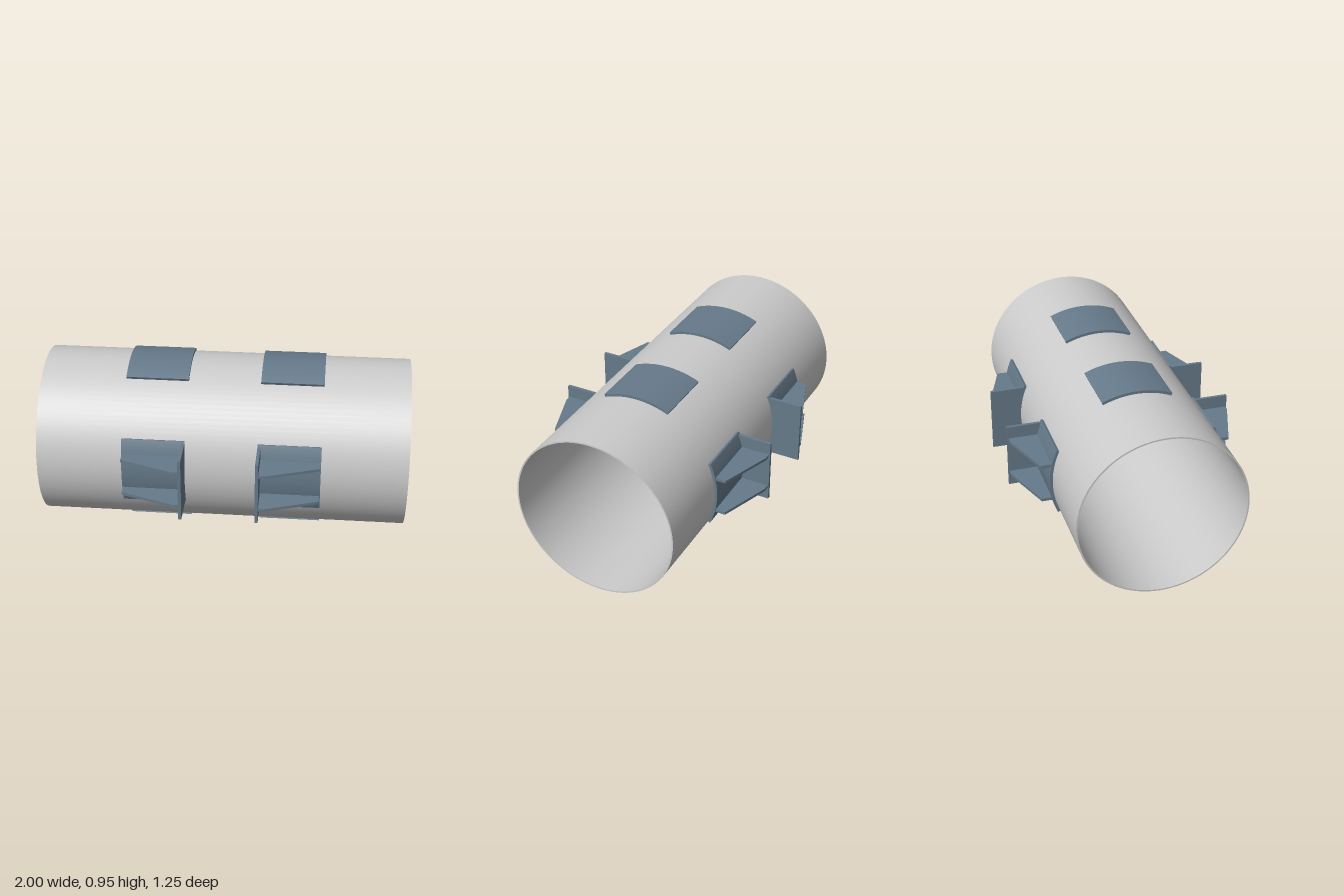
import * as THREE from 'three';
import { toCreasedNormals } from 'three/addons/utils/BufferGeometryUtils.js';

const CENTRE_Y = 0.475;
const PIPE_R = 0.46, PIPE_INNER = 0.452, PAD_R = 0.475;
const X0 = 0.195, X1 = 0.535; // extent of each pad along the pipe

const grey = new THREE.MeshStandardMaterial({ color: 0xcccccc });
const steel = new THREE.MeshStandardMaterial({ color: 0x667a8a });

function part(name, geometry, material) {
  const mesh = new THREE.Mesh(toCreasedNormals(geometry, 0.5), material);
  mesh.name = name;
  return mesh;
}

// Extrude a (z, y) outline along x from xa to xb
function extrudeAlongX(shape, xa, xb) {
  const g = new THREE.ExtrudeGeometry(shape, { depth: xb - xa, bevelEnabled: false, curveSegments: 24 });
  return g.rotateY(-Math.PI / 2).translate(xb, 0, 0);
}

function pipe() {
  const profile = [[PIPE_R, -1], [PIPE_R, 1], [PIPE_INNER, 1], [PIPE_INNER, -1], [PIPE_R, -1]]
    .map(([r, y]) => new THREE.Vector2(r, y));
  return part('pipe', new THREE.LatheGeometry(profile, 96).rotateZ(Math.PI / 2), grey);
}

// Curved pad lying on the pipe wall, facing +z
function pad() {
  const a = 0.413, s = new THREE.Shape();
  s.absarc(0, 0, PAD_R, -a, a, false);
  s.absarc(0, 0, PIPE_R - 0.001, a, -a, true);
  return part('pad', extrudeAlongX(s, X0, X1), steel);
}

// Upright stop plate, cut to the curve of the pad
function stopPlate() {
  const h = 0.179, r = PAD_R - 0.002, a = Math.asin(h / r), s = new THREE.Shape();
  s.moveTo(0.627, -h);
  s.lineTo(0.627, h);
  s.absarc(0, 0, r, a, -a, true);
  return part('stopPlate', extrudeAlongX(s, X0, X0 + 0.017), steel);
}

// Tapered rib bracing the plate at height y
function rib(y) {
  const t = 0.016, s = new THREE.Shape();
  [[X0 + 0.016, 0.458], [X1 - 0.005, 0.458], [X1 - 0.005, 0.52], [0.245, 0.62], [X0 + 0.016, 0.62]]
    .forEach(([x, z], i) => (i ? s.lineTo(x, -z) : s.moveTo(x, -z)));
  const g = new THREE.ExtrudeGeometry(s, { depth: t, bevelEnabled: false });
  return part('rib', g.rotateX(-Math.PI / 2).translate(0, y - t / 2, 0), steel);
}

export function createModel() {
  const model = new THREE.Group();
  model.name = 'pipeWithSupports';
  const body = new THREE.Group();
  body.name = 'pipeAssembly';
  body.position.y = CENTRE_Y;
  model.add(body);
  body.add(pipe());

  // A ring of four pads at each end; the front and back ones carry brackets
  for (const end of ['left', 'right']) {
    const ring = new THREE.Group();
    ring.name = end + 'PadRing';
    if (end === 'right') ring.rotation.y = Math.PI;
    ['Front', 'Bottom', 'Back', 'Top'].forEach((side, k) => {
      const support = new THREE.Group();
      support.name = end + side + 'Support';
      support.rotation.x = k * Math.PI / 2;
      support.add(pad());
      if (k % 2 === 0) support.add(stopPlate(), rib(0.102), rib(-0.102));
      ring.add(support);
    });
    body.add(ring);
  }
  return model;
}
